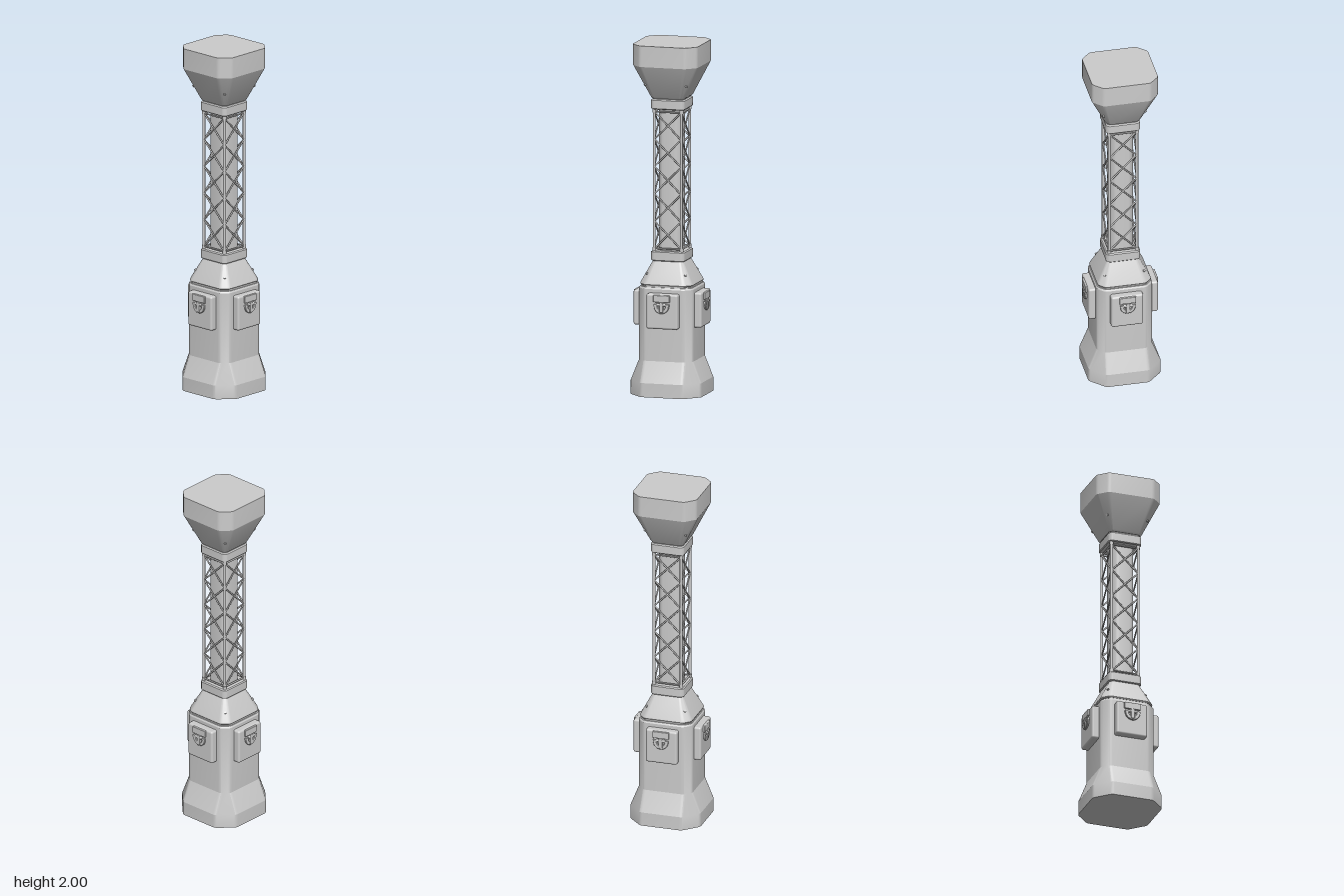
import * as THREE from 'three';
import { toCreasedNormals } from 'three/addons/utils/BufferGeometryUtils.js';
import { RoundedBoxGeometry } from 'three/addons/geometries/RoundedBoxGeometry.js';

const material = new THREE.MeshStandardMaterial({ color: 0xcccccc });

function add(parent, name, geometry, x = 0, y = 0, z = 0) {
  const mesh = new THREE.Mesh(geometry, material);
  mesh.name = name;
  mesh.position.set(x, y, z);
  parent.add(mesh);
  return mesh;
}

// Square with chamfered, slightly softened corners: h = half width, f = half of the flat side
function section(h, f) {
  const corners = [[h, -f], [h, f], [f, h], [-f, h], [-h, f], [-h, -f], [-f, -h], [f, -h]]
    .map(([x, z]) => new THREE.Vector2(x, z));
  const points = [];
  corners.forEach((c, i) => {
    const r = Math.min(0.014, (h - f) * 0.45);
    const toward = (o) => o.clone().sub(c).setLength(r).add(c);
    const curve = new THREE.QuadraticBezierCurve(
      toward(corners[(i + 7) % 8]), c, toward(corners[(i + 1) % 8]));
    points.push(...curve.getPoints(3));
  });
  return points;
}

// Closed solid through rings of [y, half width, half flat]
function loft(rings) {
  const pos = [], index = [], n = 32, last = rings.length - 1;
  rings.forEach(([y, h, f]) => section(h, f).forEach((p) => pos.push(p.x, y, p.y)));
  const bottom = pos.length / 3;
  pos.push(0, rings[0][0], 0, 0, rings[last][0], 0);
  for (let i = 0; i < n; i++) {
    const k = (i + 1) % n;
    for (let j = 0; j < last; j++) {
      const a = j * n + i, b = j * n + k, c = b + n, d = a + n;
      index.push(a, d, b, b, d, c);
    }
    index.push(bottom, i, k, bottom + 1, last * n + k, last * n + i);
  }
  const g = new THREE.BufferGeometry();
  g.setAttribute('position', new THREE.Float32BufferAttribute(pos, 3));
  g.setIndex(index);
  return toCreasedNormals(g, 0.35);
}

// Round bar between two points
function rod(parent, name, a, b, radius) {
  const dir = b.clone().sub(a);
  const mesh = add(parent, name, new THREE.CylinderGeometry(radius, radius, dir.length(), 8));
  mesh.position.copy(a).add(b).multiplyScalar(0.5);
  mesh.quaternion.setFromUnitVectors(new THREE.Vector3(0, 1, 0), dir.normalize());
}

// Equipment box with its latch, facing +z
function equipmentBox() {
  const g = new THREE.Group();
  g.name = 'equipmentBox';
  add(g, 'boxCover', new RoundedBoxGeometry(0.184, 0.2, 0.06, 3, 0.012), 0, 0.49, 0.17);
  add(g, 'latchPlate', new RoundedBoxGeometry(0.096, 0.04, 0.02, 2, 0.004), 0, 0.565, 0.2);
  add(g, 'latchBar', new THREE.BoxGeometry(0.09, 0.012, 0.016), 0, 0.528, 0.202);
  const arc = new THREE.Shape();
  arc.absarc(0, 0, 0.042, Math.PI, Math.PI * 2, false);
  arc.lineTo(0.026, 0);
  arc.absarc(0, 0, 0.026, Math.PI * 2, Math.PI, true);
  arc.closePath();
  const handle = new THREE.ExtrudeGeometry(arc, { depth: 0.012, bevelEnabled: true,
    bevelSize: 0.002, bevelThickness: 0.002, bevelSegments: 1, curveSegments: 10 });
  add(g, 'latchHandle', handle, 0, 0.524, 0.196);
  add(g, 'latchTongue', new RoundedBoxGeometry(0.022, 0.06, 0.02, 2, 0.004), 0, 0.517, 0.204);
  add(g, 'latchPivot', new THREE.CylinderGeometry(0.008, 0.008, 0.054, 12), 0, 0.532, 0.206)
    .rotation.z = Math.PI / 2;
  return g;
}

// Crossed bracing and rails for one side, facing +z
function latticeSide() {
  const g = new THREE.Group();
  g.name = 'latticeSide';
  const z = 0.08, w = 0.078, y0 = 0.83, y1 = 1.61, panels = 5, step = (y1 - y0) / panels;
  for (let i = 0; i < panels; i++) {
    const low = y0 + i * step, high = low + step;
    for (const s of [-1, 1]) {
      rod(g, 'brace', new THREE.Vector3(-w * s, low, z), new THREE.Vector3(w * s, high, z), 0.0045);
    }
  }
  for (const y of [y0, y1]) {
    rod(g, 'rail', new THREE.Vector3(-w, y, z), new THREE.Vector3(w, y, z), 0.005);
  }
  return g;
}

export function createModel() {
  const model = new THREE.Group();
  model.name = 'latticeTower';

  // Foot, body and shoulder
  add(model, 'base', loft([[0, 0.208, 0.122], [0.08, 0.208, 0.122], [0.2, 0.16, 0.118],
    [0.61, 0.16, 0.118], [0.62, 0.154, 0.115]]));
  add(model, 'shoulderGroove', loft([[0.615, 0.148, 0.11], [0.632, 0.148, 0.11]]));
  add(model, 'shoulder', loft([[0.627, 0.15, 0.112], [0.634, 0.154, 0.115],
    [0.645, 0.15, 0.112], [0.755, 0.093, 0.076], [0.765, 0.088, 0.073]]));

  // Collars at both ends of the mast
  for (const y of [0.76, 1.625]) {
    add(model, 'collar', loft([[y, 0.093, 0.078], [y + 0.005, 0.098, 0.083],
      [y + 0.052, 0.098, 0.083], [y + 0.058, 0.092, 0.078]]));
  }

  // Mast core and the flared head
  add(model, 'mastCore', loft([[0.8, 0.066, 0.042], [1.64, 0.066, 0.042]]));
  add(model, 'headNeck', loft([[1.67, 0.09, 0.075], [1.7, 0.09, 0.075]]));
  add(model, 'head', loft([[1.687, 0.094, 0.077], [1.695, 0.101, 0.081],
    [1.88, 0.19, 0.134], [2, 0.19, 0.134]]));

  for (let i = 0; i < 4; i++) {
    const turn = (i * Math.PI) / 2;
    for (const side of [equipmentBox(), latticeSide()]) {
      side.rotation.y = turn;
      model.add(side);
    }

    // Corner post with end sleeves, and the bolts on the chamfers
    const corner = new THREE.Group();
    corner.name = 'corner';
    corner.rotation.y = turn;
    model.add(corner);
    add(corner, 'cornerPost', new THREE.CylinderGeometry(0.008, 0.008, 0.82, 10), 0.08, 1.22, 0.08);
    for (const y of [0.825, 1.617]) {
      add(corner, 'postSleeve', new THREE.CylinderGeometry(0.011, 0.011, 0.022, 10), 0.08, y, 0.08);
    }
    for (const [y, d, tilt] of [[0.69, 0.1127, 0.86], [1.77, 0.1205, 2.05]]) {
      const bolt = add(corner, 'bolt', new THREE.CylinderGeometry(0.007, 0.007, 0.012, 10), d, y, d);
      bolt.rotation.set(tilt, Math.PI / 4, 0, 'YXZ');
    }
  }
  return model;
}
